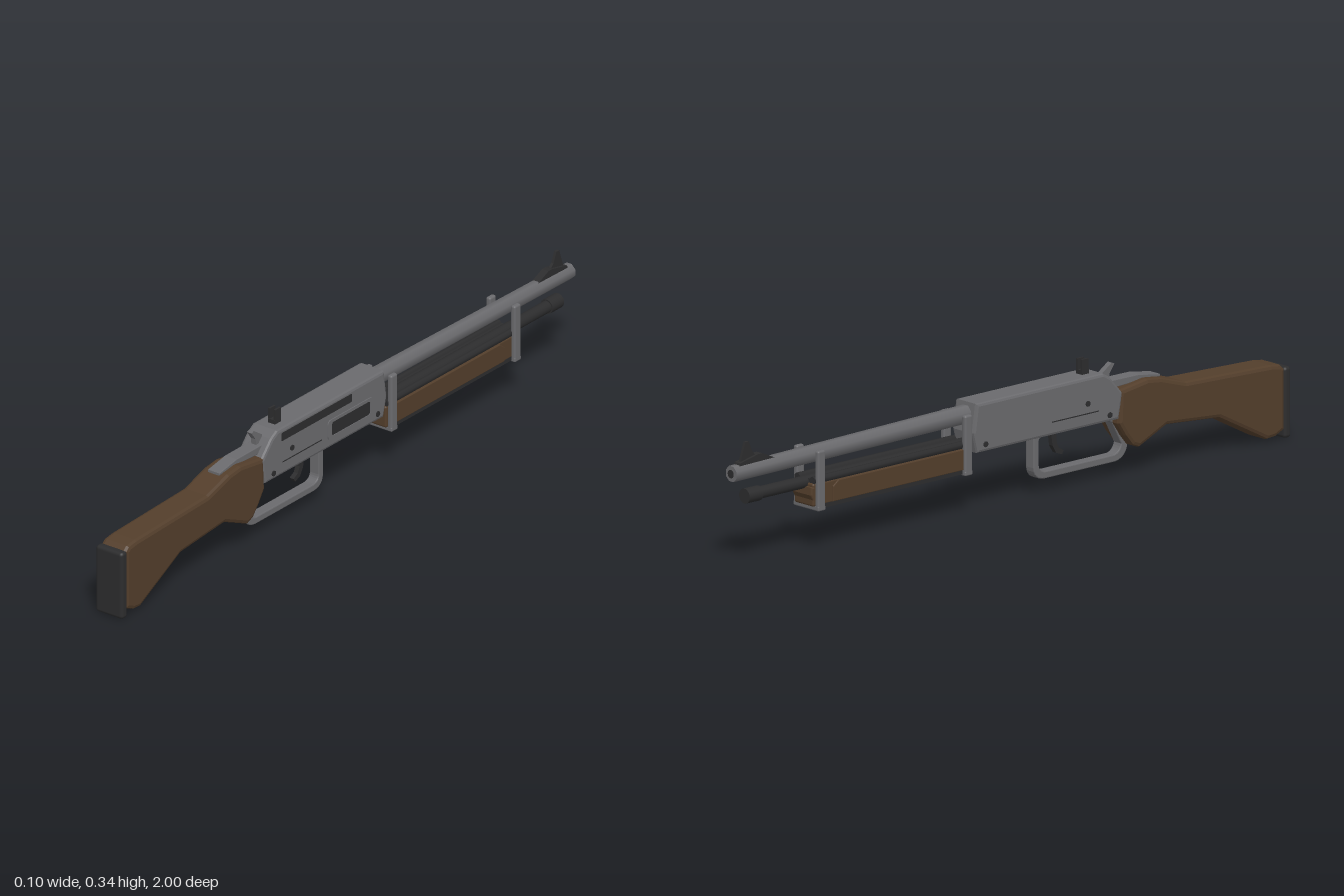
import * as THREE from 'three';
import { RoundedBoxGeometry } from 'three/addons/geometries/RoundedBoxGeometry.js';

export function createModel() {
  const model = new THREE.Group();
  const mat = (name, color) => {
    const m = new THREE.MeshStandardMaterial({ color });
    m.name = name;
    return m;
  };
  const steel = mat('grey steel', 0x6a6a6d);
  const dark = mat('blackened steel', 0x2c2c2d);
  const wood = mat('walnut', 0x533e2b);

  const add = (name, geo, material) => {
    const m = new THREE.Mesh(geo, material);
    m.name = name;
    model.add(m);
    return m;
  };
  // box from ranges, optionally rounded
  const box = (name, material, [x0, x1], [y0, y1], [z0, z1], r = 0) => {
    const s = [x1 - x0, y1 - y0, z1 - z0];
    const g = r ? new RoundedBoxGeometry(...s, 2, r) : new THREE.BoxGeometry(...s);
    g.translate((x0 + x1) / 2, (y0 + y1) / 2, (z0 + z1) / 2);
    return add(name, g, material);
  };
  // side outline in (z, y), extruded across x around xc
  const outline = (pts) => new THREE.Shape(pts.map((p) => new THREE.Vector2(...p)));
  const slab = (name, material, shape, width, bevel = 0, xc = 0) => {
    const g = new THREE.ExtrudeGeometry(shape, {
      depth: width - 2 * bevel, bevelEnabled: bevel > 0, bevelSize: bevel,
      bevelThickness: bevel, bevelOffset: -bevel, bevelSegments: 2, curveSegments: 6,
    });
    g.translate(0, 0, -(width - 2 * bevel) / 2).rotateY(-Math.PI / 2).translate(xc, 0, 0);
    return add(name, g, material);
  };
  // round or faceted bar running from (y0, z0) to (y1, z1)
  const bar = (name, material, y0, z0, y1, z1, r0, r1, sides, x = 0) => {
    const len = Math.hypot(y1 - y0, z1 - z0);
    const g = new THREE.CylinderGeometry(r1, r0, len, sides);
    g.rotateY(Math.PI / sides);
    const m = add(name, g, material);
    m.position.set(x, (y0 + y1) / 2, (z0 + z1) / 2);
    m.quaternion.setFromUnitVectors(new THREE.Vector3(0, 1, 0),
      new THREE.Vector3(0, y1 - y0, z1 - z0).normalize());
    return m;
  };
  const roundRect = (T, z0, z1, y0, y1, r) => {
    const p = new T();
    p.moveTo(z0 + r, y0);
    p.lineTo(z1 - r, y0); p.quadraticCurveTo(z1, y0, z1, y0 + r);
    p.lineTo(z1, y1 - r); p.quadraticCurveTo(z1, y1, z1 - r, y1);
    p.lineTo(z0 + r, y1); p.quadraticCurveTo(z0, y1, z0, y1 - r);
    p.lineTo(z0, y0 + r); p.quadraticCurveTo(z0, y0, z0 + r, y0);
    return p;
  };

  // butt stock and pad
  slab('stock', wood, outline([
    [0.978, 0.195], [0.965, 0.206], [0.93, 0.211], [0.62, 0.222], [0.53, 0.25],
    [0.48, 0.256], [0.38, 0.242], [0.375, 0.15], [0.40, 0.112], [0.425, 0.082],
    [0.45, 0.072], [0.55, 0.116], [0.74, 0.1], [0.915, 0.008], [0.945, 0.01], [0.978, 0.025],
  ]), 0.088, 0.011);
  box('buttPad', dark, [-0.046, 0.046], [0, 0.198], [0.974, 1], 0.01);

  // receiver
  slab('receiver', steel, outline([
    [-0.143, 0.30], [-0.155, 0.22], [-0.14, 0.163], [0.375, 0.163],
    [0.39, 0.235], [0.345, 0.285], [0.32, 0.30],
  ]), 0.086, 0.008);
  slab('tang', steel, outline([
    [0.36, 0.245], [0.47, 0.25], [0.545, 0.247], [0.545, 0.254], [0.47, 0.267], [0.36, 0.268],
  ]), 0.04, 0.002);
  slab('hammer', steel, outline([
    [0.34, 0.26], [0.37, 0.26], [0.372, 0.285], [0.39, 0.309], [0.38, 0.313], [0.345, 0.29],
  ]), 0.016);

  // loading slot and ejection port on the left face
  const plate = (name, material, z0, z1, y0, y1, r, t) =>
    slab(name, material, roundRect(THREE.Shape, z0, z1, y0, y1, r), t, 0, 0.043);
  plate('boltSlot', dark, 0.0, 0.305, 0.264, 0.288, 0.004, 0.002);
  const rim = roundRect(THREE.Shape, -0.092, 0.106, 0.188, 0.246, 0.015);
  rim.holes.push(roundRect(THREE.Path, -0.078, 0.09, 0.197, 0.237, 0.01));
  slab('portRim', steel, rim, 0.006, 0, 0.043);
  plate('ejectionPort', dark, -0.08, 0.092, 0.196, 0.238, 0.01, 0.002);

  // pins on both faces
  for (const side of [-1, 1]) {
    for (const [z, y] of [[0.26, 0.228], [0.34, 0.182], [-0.112, 0.184]]) {
      const g = new THREE.CylinderGeometry(0.008, 0.008, 0.006, 10);
      g.rotateZ(Math.PI / 2).translate(side * 0.043, y, z);
      add('pin', g, dark);
    }
    box('seam', dark, side > 0 ? [0.042, 0.0436] : [-0.0436, -0.042],
      [0.199, 0.202], [0.13, 0.30]);
  }

  // lever loop and trigger
  const loop = new THREE.Shape();
  loop.moveTo(0.088, 0.165);
  loop.lineTo(0.088, 0.075);
  loop.quadraticCurveTo(0.09, 0.04, 0.13, 0.039);
  loop.lineTo(0.385, 0.039);
  loop.quadraticCurveTo(0.42, 0.042, 0.43, 0.075);
  loop.lineTo(0.43, 0.09);
  loop.lineTo(0.39, 0.165);
  const hole = new THREE.Path();
  hole.moveTo(0.108, 0.148);
  hole.lineTo(0.108, 0.08);
  hole.quadraticCurveTo(0.11, 0.06, 0.135, 0.059);
  hole.lineTo(0.38, 0.059);
  hole.quadraticCurveTo(0.402, 0.062, 0.408, 0.085);
  hole.lineTo(0.375, 0.148);
  hole.quadraticCurveTo(0.37, 0.154, 0.36, 0.155);
  hole.lineTo(0.12, 0.155);
  hole.quadraticCurveTo(0.109, 0.155, 0.108, 0.148);
  loop.holes.push(hole);
  slab('leverLoop', steel, loop, 0.032, 0.003);
  slab('trigger', dark, outline([
    [0.16, 0.16], [0.178, 0.16], [0.18, 0.13], [0.188, 0.112], [0.206, 0.102],
    [0.2, 0.092], [0.178, 0.1], [0.165, 0.122],
  ]), 0.014);

  // octagonal barrel with muzzle
  bar('barrel', steel, 0.266, -0.13, 0.255, -0.998, 0.026, 0.023, 8);
  const ring = new THREE.RingGeometry(0.012, 0.02, 16).rotateY(Math.PI).translate(0, 0.255, -0.9995);
  add('muzzleRing', ring, steel);
  add('bore', new THREE.CircleGeometry(0.012, 16).rotateY(Math.PI).translate(0, 0.255, -1), dark);

  // magazine tube and end cap
  bar('magazineTube', dark, 0.185, -0.14, 0.185, -0.94, 0.017, 0.017, 16);
  bar('magazineCap', dark, 0.185, -0.9, 0.185, -0.95, 0.021, 0.021, 16);

  // fore-end: wood body, dark tray and underside, framed side panels
  box('foreEnd', wood, [-0.038, 0.038], [0.122, 0.186], [-0.735, -0.155], 0.006);
  box('foreEndTray', dark, [-0.036, 0.036], [0.18, 0.197], [-0.73, -0.16]);
  box('foreEndBase', dark, [-0.038, 0.038], [0.114, 0.126], [-0.715, -0.175]);
  for (const s of [-1, 1]) {
    bar('trayRail', dark, 0.193, -0.16, 0.193, -0.73, 0.011, 0.011, 8, s * 0.03);
    slab('sidePanel', wood, outline([
      [-0.19, 0.126], [-0.665, 0.126], [-0.665, 0.168], [-0.645, 0.183], [-0.19, 0.183],
    ]), 0.008, 0.002, s * 0.038);
  }
  slab('foreEndTip', wood, outline([
    [-0.70, 0.12], [-0.725, 0.122], [-0.742, 0.155], [-0.74, 0.176], [-0.70, 0.182],
  ]), 0.076, 0.004);

  // two open U-shaped bands
  for (const z of [-0.178, -0.713]) {
    for (const s of [-1, 1]) {
      box('bandPost', steel, s > 0 ? [0.034, 0.05] : [-0.05, -0.034],
        [0.112, 0.277], [z - 0.014, z + 0.014], 0.006);
    }
    box('bandBase', steel, [-0.05, 0.05], [0.11, 0.124], [z - 0.014, z + 0.014], 0.004);
  }

  // sights
  slab('frontSightRamp', dark, outline([
    [-0.84, 0.272], [-0.98, 0.268], [-0.975, 0.282], [-0.91, 0.296], [-0.895, 0.296],
  ]), 0.022);
  slab('frontSightBlade', dark, outline([
    [-0.905, 0.285], [-0.97, 0.275], [-0.96, 0.305], [-0.95, 0.335], [-0.938, 0.335], [-0.925, 0.305],
  ]), 0.008);
  box('rearSightBase', dark, [-0.012, 0.012], [0.298, 0.312], [0.268, 0.294]);
  for (const s of [-1, 1]) {
    box('rearSightEar', dark, s > 0 ? [0.006, 0.012] : [-0.012, -0.006],
      [0.3, 0.342], [0.268, 0.292]);
  }
  return model;
}
